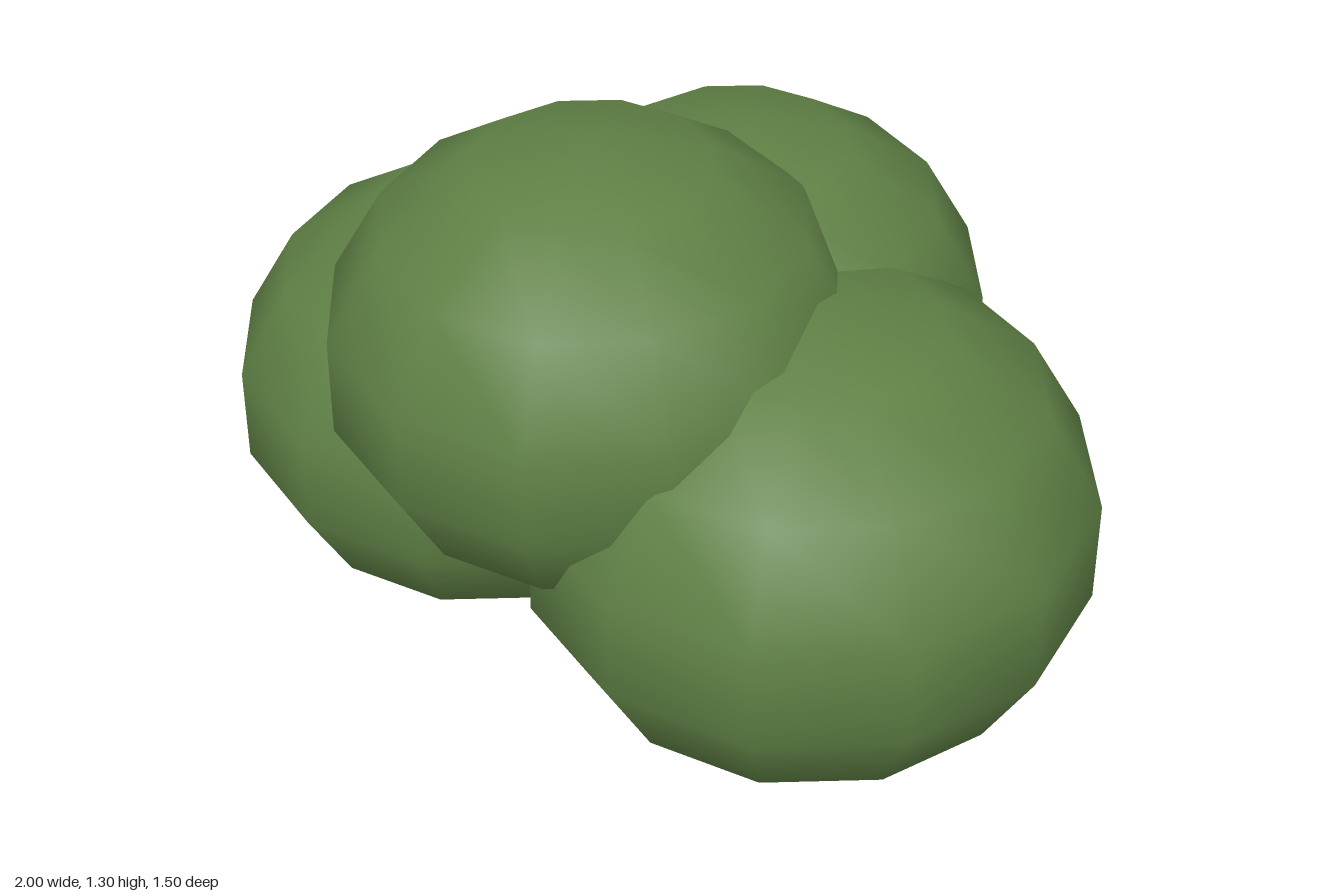
import * as THREE from 'three';

export function createModel() {
  const group = new THREE.Group();
  group.name = 'bush';
  const leafGreen = new THREE.MeshStandardMaterial({ color: 0x5f8045 });
  leafGreen.name = 'leaf green';

  // One coarse, smooth-shaded ball shared by all the foliage clumps
  const ball = new THREE.SphereGeometry(1, 12, 7);

  // Slightly squashed foliage clumps: name, radius, centre
  const clumps = [
    ['leftClump', 0.605, [0.41, 0.522, 0.03]],
    ['rightClump', 0.559, [-0.455, 0.48, 0.095]],
    ['topFrontClump', 0.559, [-0.025, 0.825, 0.203]],
    ['backClump', 0.538, [-0.022, 0.696, -0.228]],
  ];
  for (const [name, radius, centre] of clumps) {
    const clump = new THREE.Mesh(ball, leafGreen);
    clump.name = name;
    clump.scale.set(radius, radius * 0.85, radius);
    clump.position.set(...centre);
    group.add(clump);
  }
  return group;
}
